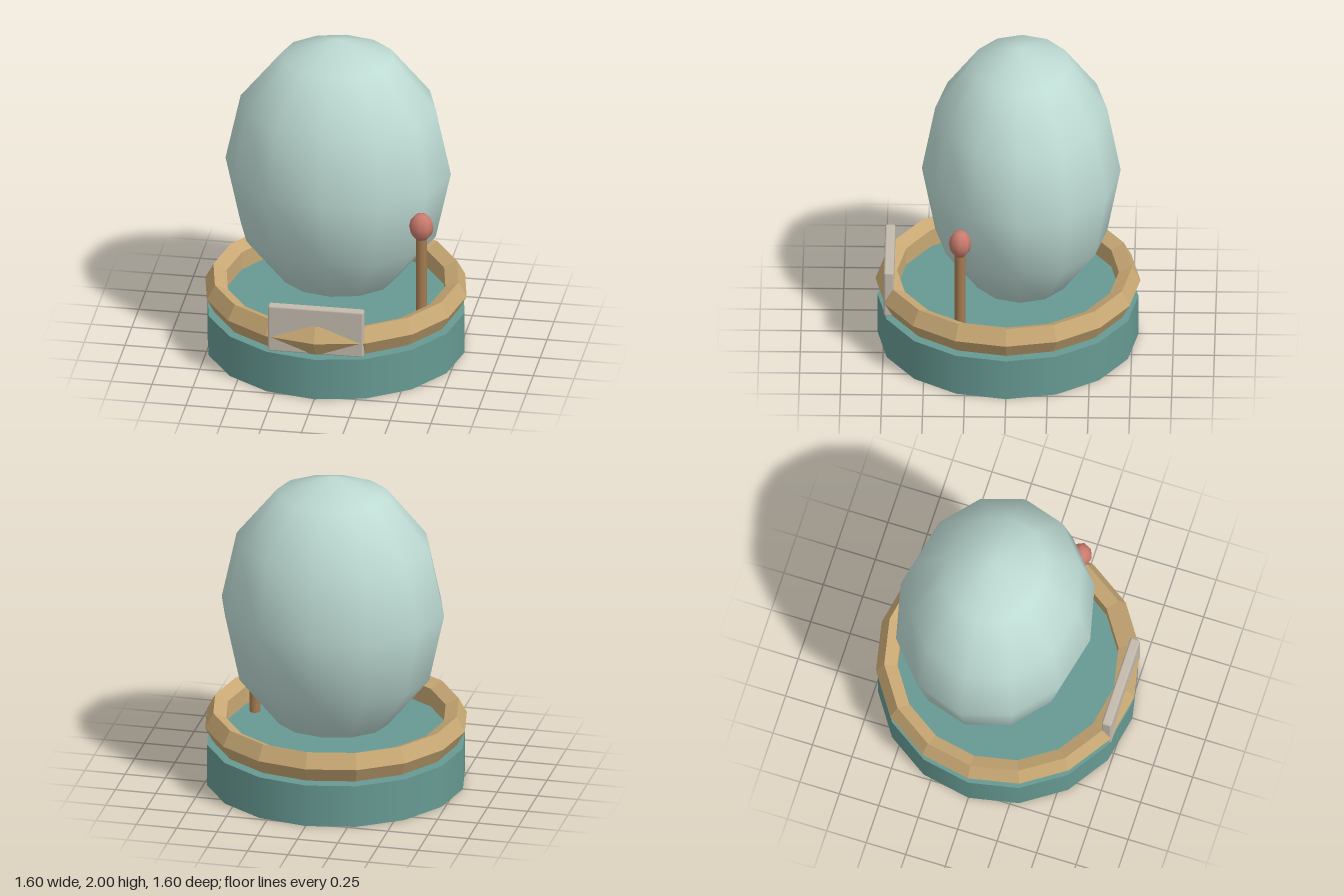
import * as THREE from 'three';
import { RoundedBoxGeometry } from 'three/addons/geometries/RoundedBoxGeometry.js';

const material = (name, color, flatShading = false) => {
  const m = new THREE.MeshStandardMaterial({ color, flatShading });
  m.name = name;
  return m;
};

export function createModel() {
  const group = new THREE.Group();
  const add = (name, geometry, mat, x, y, z) => {
    const mesh = new THREE.Mesh(geometry, mat);
    mesh.name = name;
    mesh.position.set(x, y, z);
    group.add(mesh);
    return mesh;
  };

  const teal = material('teal base', 0x679a93);
  const mint = material('pale mint', 0xbddad3);
  const tan = material('tan rim', 0xc8a874, true);
  const brown = material('brown wood', 0xa67c52);
  const coral = material('coral red', 0xc97b6d);
  const stone = material('warm grey', 0xc4bbae);

  // Round base drum
  add('base', new THREE.CylinderGeometry(0.788, 0.788, 0.265, 16), teal, 0, 0.1325, 0);

  // Faceted rim with a five-sided section, stretched upwards
  const rim = new THREE.TorusGeometry(0.728, 0.072, 5, 16);
  rim.rotateX(Math.PI / 2);
  rim.scale(1, 1.36, 1);
  add('rim', rim, tan, 0, 0.375, 0);

  // Large egg-shaped body, set a little towards the back
  const egg = new THREE.SphereGeometry(1, 12, 6);
  egg.scale(0.69, 0.85, 0.6);
  add('eggBody', egg, mint, 0, 1.15, -0.08);

  // Lever with an oval knob
  add('leverStick', new THREE.CylinderGeometry(0.033, 0.033, 0.7, 8), brown, 0.57, 0.58, 0.28);
  const knob = new THREE.SphereGeometry(1, 8, 6);
  knob.scale(0.075, 0.09, 0.068);
  add('leverKnob', knob, coral, 0.57, 0.96, 0.28);

  // Bevelled front plaque, partly sunk into the rim
  add('plaque', new RoundedBoxGeometry(0.585, 0.303, 0.061, 1, 0.012), stone, 0, 0.431, 0.715);

  return group;
}
